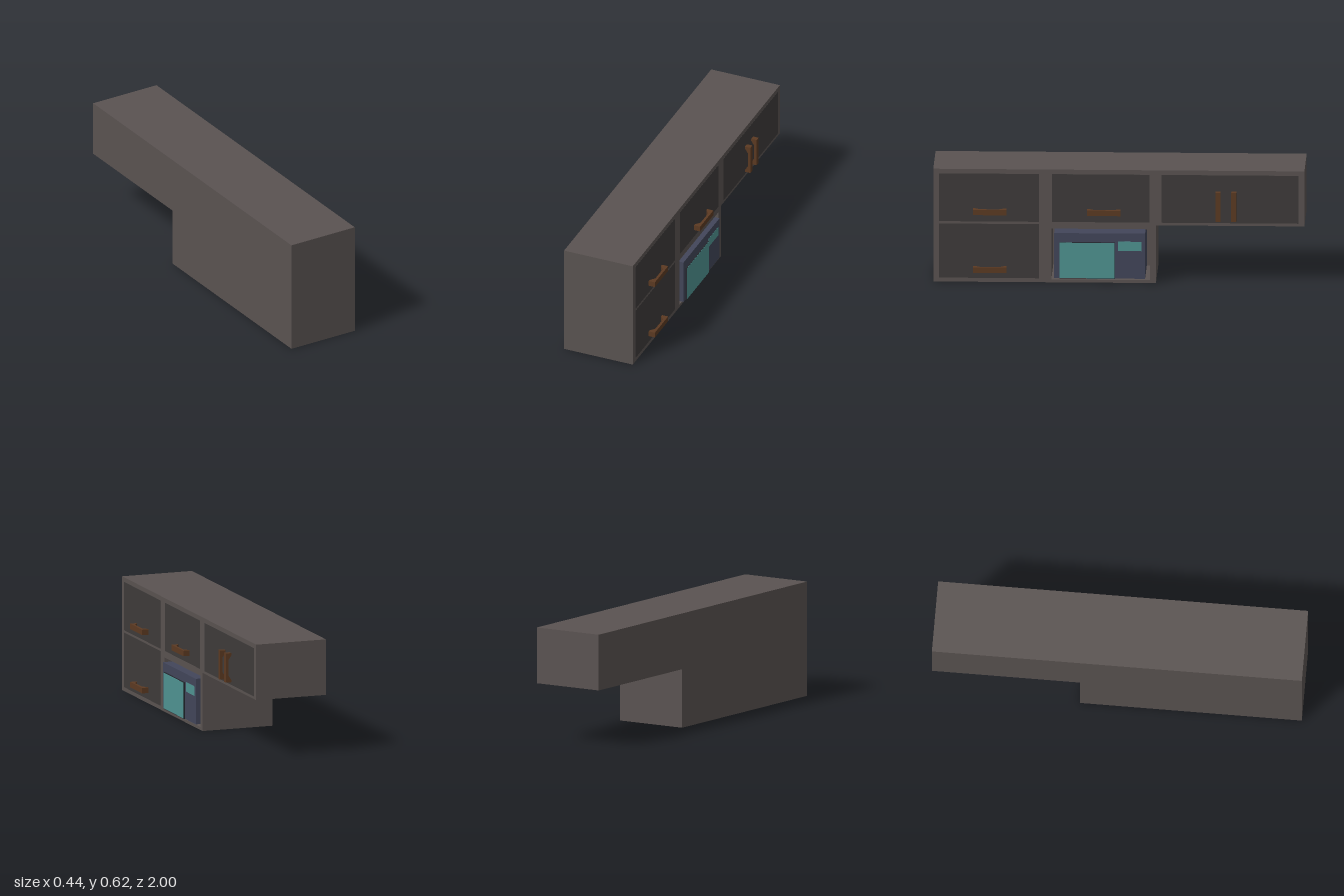
import * as THREE from 'three';

const mat = (color) => new THREE.MeshStandardMaterial({ color });
const cabinetMat = mat(0x5a5351), doorMat = mat(0x3e3b3a), handleMat = mat(0x5c3a22);
const ovenMat = mat(0x42465a), darkMat = mat(0x25272f), glassMat = mat(0x4f9492);

const BACK = -0.22, FRONT = 0.183, CAVITY = -0.15;

export function createModel() {
  const model = new THREE.Group();
  model.name = 'wallCabinet';

  const add = (name, geometry, material, parent = model) => {
    const mesh = new THREE.Mesh(geometry, material);
    mesh.name = name;
    parent.add(mesh);
    return mesh;
  };

  // Box given by its limits on each axis
  const box = (name, [x0, x1], [y0, y1], [z0, z1], material, parent) =>
    add(name, new THREE.BoxGeometry(x1 - x0, y1 - y0, z1 - z0), material, parent)
      .position.set((x0 + x1) / 2, (y0 + y1) / 2, (z0 + z1) / 2);

  // L-shaped carcass drawn in the (-z, y) plane, with an open niche
  const outline = [[-1, 0], [0.2, 0], [0.2, 0.32], [1, 0.32], [1, 0.625], [-1, 0.625]];
  const niche = [[-0.364, 0.016], [-0.364, 0.298], [0.168, 0.298], [0.168, 0.016]];
  const toPoints = (list) => list.map(([u, y]) => new THREE.Vector2(u, y));
  const carcass = new THREE.Shape(toPoints(outline));
  carcass.holes.push(new THREE.Path(toPoints(niche)));
  const body = new THREE.ExtrudeGeometry(carcass, { depth: FRONT - BACK, bevelEnabled: false });
  body.rotateY(Math.PI / 2).translate(BACK, 0, 0);
  add('carcass', body, cabinetMat);
  box('nicheBack', [BACK, CAVITY], [0.016, 0.298], [-0.168, 0.364], cabinetMat);

  // Door faces, flush with the frame
  const doors = [
    ['upperLeftDoor', [0.335, 0.6], [0.43, 0.968]],
    ['upperMiddleDoor', [0.335, 0.6], [-0.165, 0.36]],
    ['upperRightDoor', [0.335, 0.6], [-0.968, -0.23]],
    ['lowerLeftDoor', [0.022, 0.322], [0.43, 0.968]],
  ];
  for (const [name, y, z] of doors) box(name, [FRONT - 0.01, FRONT + 0.001], y, z, doorMat);

  // Bracket-shaped pull with slanted feet
  const handle = (name, length, reach, width, y, z, horizontal) => {
    const h = length / 2, bar = reach - 0.014;
    const profile = new THREE.Shape(toPoints([
      [0, -h], [reach, -h], [reach, h], [0, h],
      [0, h - 0.01], [bar, h - 0.039], [bar, -h + 0.039], [0, -h + 0.01],
    ]));
    const geometry = new THREE.ExtrudeGeometry(profile, { depth: width, bevelEnabled: false });
    geometry.translate(0, 0, -width / 2);
    if (horizontal) geometry.rotateX(Math.PI / 2);
    add(name, geometry, handleMat).position.set(FRONT, y, z);
  };
  handle('upperLeftHandle', 0.18, 0.037, 0.03, 0.393, 0.695, true);
  handle('upperMiddleHandle', 0.18, 0.037, 0.03, 0.393, 0.08, true);
  handle('lowerLeftHandle', 0.18, 0.037, 0.03, 0.073, 0.695, true);
  for (const z of [-0.535, -0.62]) handle('verticalHandle', 0.16, 0.033, 0.027, 0.43, z, false);

  // Microwave set into the niche
  const microwave = new THREE.Group();
  microwave.name = 'microwave';
  model.add(microwave);
  box('microwaveBody', [CAVITY, 0.199], [0.027, 0.277], [-0.142, 0.348], ovenMat, microwave);
  box('microwaveDoor', [0.199, 0.207], [0.027, 0.228], [0.02, 0.32], darkMat, microwave);
  box('doorGlass', [0.207, 0.208], [0.03, 0.226], [0.023, 0.318], glassMat, microwave);
  box('display', [0.199, 0.2], [0.18, 0.232], [-0.123, 0.005], glassMat, microwave);

  return model;
}
